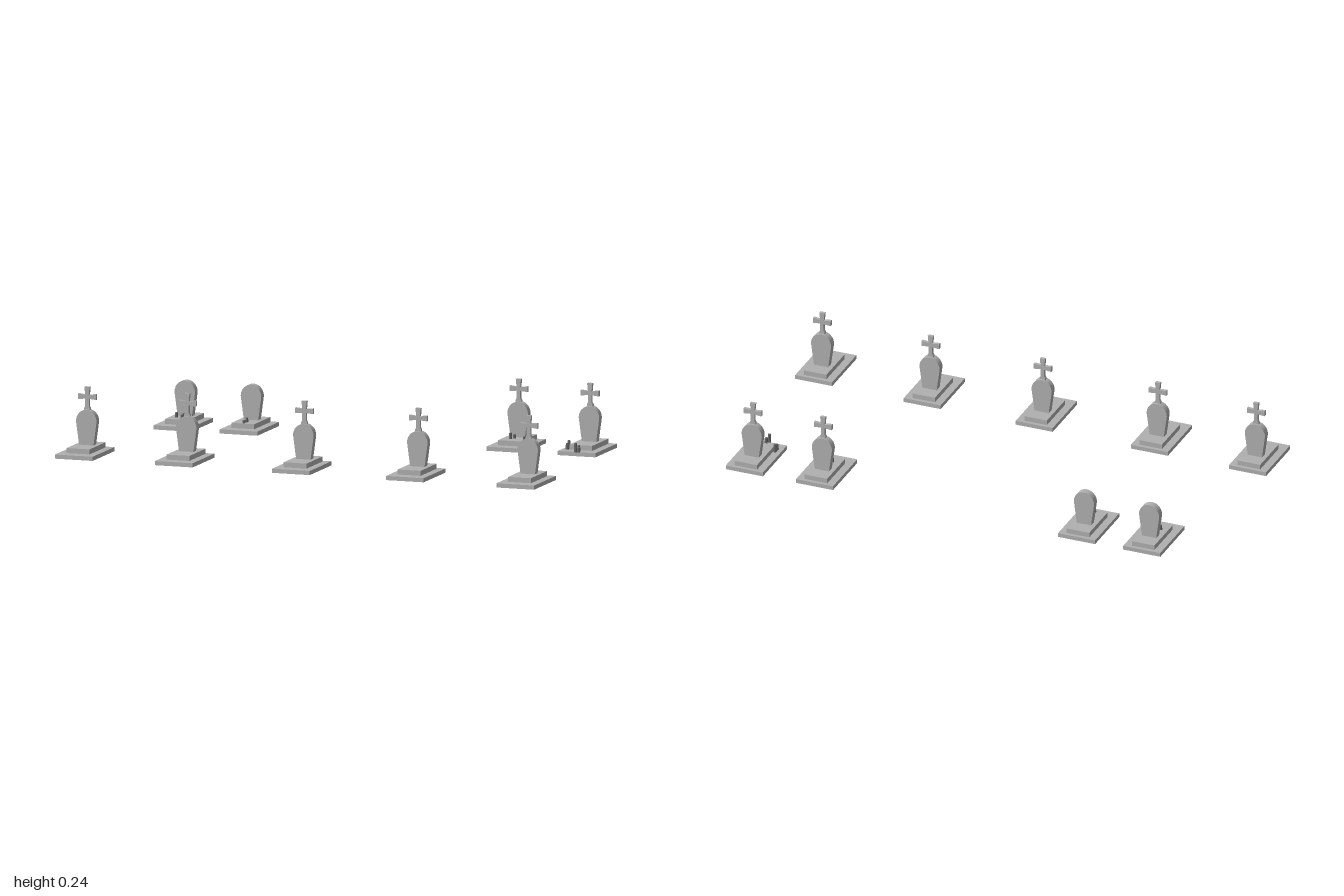
import * as THREE from 'three';

const stone = new THREE.MeshStandardMaterial({ color: 0xb0b0b0 });
stone.name = 'stone grey';
const wax = new THREE.MeshStandardMaterial({ color: 0x686868 });
wax.name = 'candle grey';

const TURN = -0.59;

function add(parent, name, geometry, material, x, y, z) {
  const mesh = new THREE.Mesh(geometry, material);
  mesh.name = name;
  mesh.position.set(x, y, z);
  parent.add(mesh);
  return mesh;
}

// Flat kerb around the grave, open in the middle below the slab
function kerbGeometry() {
  const w = 0.0715, l = 0.1115;
  const shape = new THREE.Shape([[-w, -l], [w, -l], [w, l], [-w, l]].map(p => new THREE.Vector2(...p)));
  shape.holes.push(new THREE.Path(
    [[-0.04, -0.053], [-0.04, 0.09], [0.04, 0.09], [0.04, -0.053]].map(p => new THREE.Vector2(...p))));
  return new THREE.ExtrudeGeometry(shape, { depth: 0.015, bevelEnabled: false }).rotateX(-Math.PI / 2);
}

// Headstone that widens upward and ends in a round top
function headstoneGeometry() {
  const s = new THREE.Shape();
  s.moveTo(-0.027, 0.03);
  s.lineTo(0.027, 0.03);
  s.lineTo(0.039, 0.118);
  s.absellipse(0, 0.118, 0.039, 0.042, 0, Math.PI, false);
  s.closePath();
  return new THREE.ExtrudeGeometry(s, { depth: 0.027, bevelEnabled: false, curveSegments: 8 })
    .translate(0, 0, -0.0135);
}

// Plain cross with slightly flared arm ends
function crossGeometry() {
  const a = 0.007, b = 0.010, y = 0.206;
  const pts = [[-0.011, 0.153], [0.011, 0.153], [0.011, 0.165], [a, 0.172], [a, y - a],
    [0.034, y - b], [0.034, y + b], [a, y + a], [b, 0.242],
    [-b, 0.242], [-a, y + a], [-0.034, y + b], [-0.034, y - b], [-a, y - a], [-a, 0.172], [-0.011, 0.165]];
  return new THREE.ExtrudeGeometry(new THREE.Shape(pts.map(p => new THREE.Vector2(...p))),
    { depth: 0.012, bevelEnabled: false }).translate(0, 0, -0.006);
}

export function createModel() {
  const model = new THREE.Group();
  model.name = 'graveyard';
  const kerb = kerbGeometry(), headstone = headstoneGeometry(), cross = crossGeometry();
  const slab = new THREE.BoxGeometry(0.087, 0.018, 0.166);
  const candle = new THREE.CylinderGeometry(0.005, 0.006, 1, 8);

  // Grave positions: x, z, has a cross
  const graves = [
    [-0.393, -0.751, false], [-0.184, -0.612, false],
    [-0.88, -0.222, true], [-0.567, -0.003, true], [-0.2, 0.254, true],
    [0.158, 0.5, true], [0.503, 0.746, true],
    [0.652, -0.03, true], [0.877, 0.12, true],
  ];
  for (const [x, z, hasCross] of graves) {
    const grave = new THREE.Group();
    grave.name = 'grave';
    grave.position.set(x, 0, z);
    grave.rotation.y = TURN;
    add(grave, 'kerb', kerb, stone, 0, 0, 0);
    add(grave, 'slab', slab, stone, 0, 0.024, -0.015);
    add(grave, 'headstone', headstone, stone, 0, 0, -0.03);
    if (hasCross) add(grave, 'cross', cross, stone, 0, 0, -0.03);
    model.add(grave);
  }

  // Candles left on the graves: x, z, bottom, height
  const candles = [
    [-0.42, -0.74, 0.033, 0.018], [-0.393, -0.74, 0.033, 0.014], [-0.405, -0.72, 0.033, 0.012],
    [-0.2, -0.585, 0.033, 0.016], [-0.215, -0.566, 0.033, 0.01],
    [0.628, -0.013, 0.033, 0.022], [0.644, -0.022, 0.033, 0.014],
    [0.664, 0.047, 0.015, 0.035], [0.677, 0.034, 0.015, 0.025],
    [0.806, 0.136, 0.015, 0.03], [0.796, 0.15, 0.015, 0.022],
    [0.812, 0.212, 0.015, 0.032], [0.826, 0.202, 0.015, 0.022], [0.822, 0.216, 0.015, 0.016],
  ];
  for (const [x, z, y, h] of candles) {
    add(model, 'candle', candle, wax, x, y + h / 2, z).scale.y = h;
  }
  return model;
}
